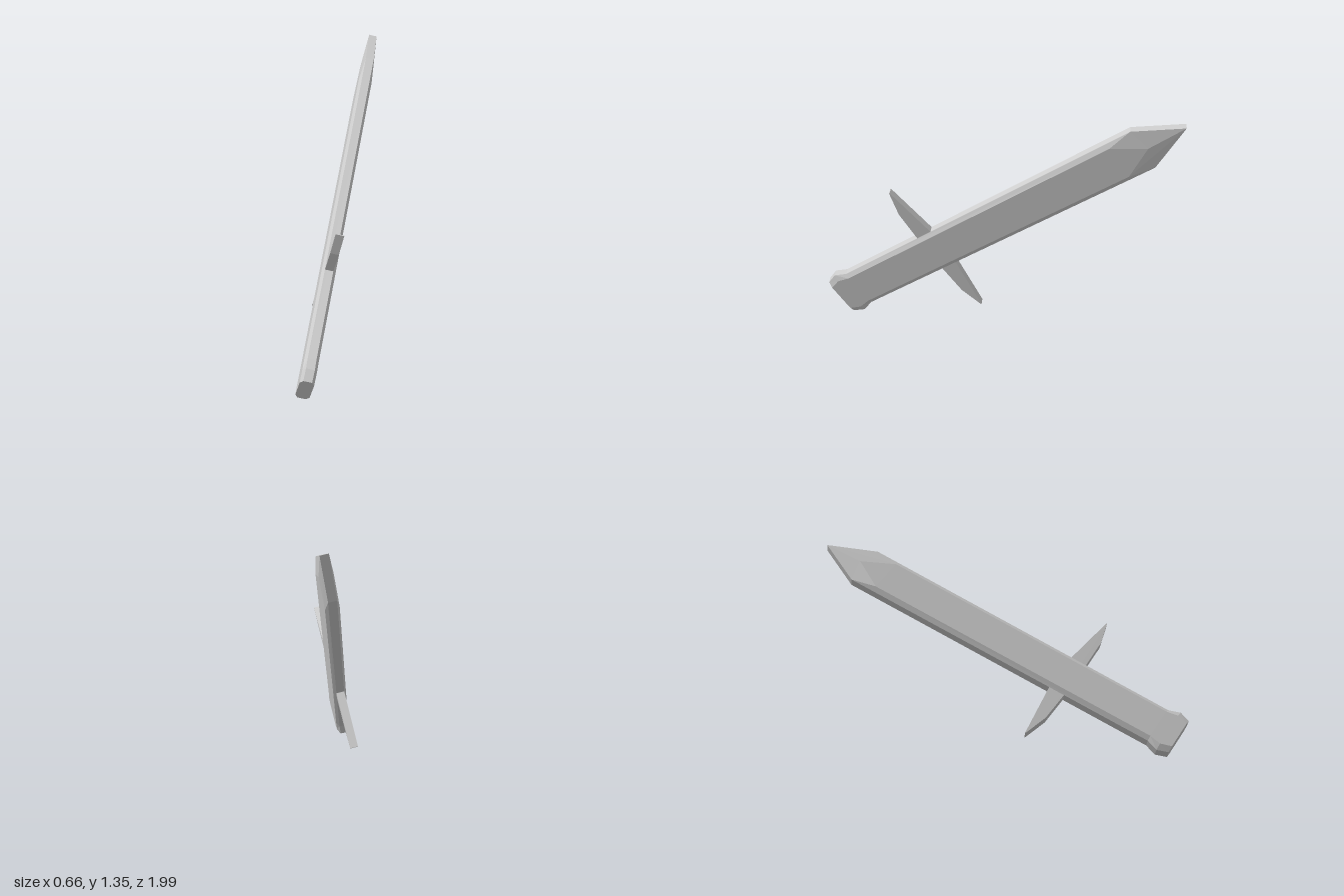
import * as THREE from 'three';

const material = new THREE.MeshStandardMaterial({ color: 0xcccccc, flatShading: true });
const EDGE = 0.0235; // half thickness along the rim
const FACE = 0.039;  // half thickness of the raised middle

// Octagonal section: the rim and the raised middle may sit at different heights.
function ring([rimY, rimW, faceY, faceW]) {
  const half = [
    [EDGE, rimY, rimW], [FACE, faceY, faceW],
    [FACE, faceY, -faceW], [EDGE, rimY, -rimW],
  ];
  const mirrored = half.map(([x, y, z]) => [-x, y, z]).reverse();
  return [...half, ...mirrored].map((p) => new THREE.Vector3(...p));
}

function bodyGeometry() {
  // rim height, rim half width, face height, face half width
  const rings = [
    [-0.768, 0.125, -0.768, 0.09],
    [-0.706, 0.15, -0.706, 0.112],
    [-0.639, 0.124, -0.639, 0.098],
    [1.313, 0.134, 1.165, 0.105],
    [1.582, 0, 1.347, 0],
  ].map(ring);
  const positions = [];
  const tri = (a, b, c) => {
    const area = b.clone().sub(a).cross(c.clone().sub(a)).length();
    if (area > 1e-7) for (const p of [a, b, c]) positions.push(p.x, p.y, p.z);
  };
  for (let i = 0; i < rings.length - 1; i++) {
    const lower = rings[i], upper = rings[i + 1];
    for (let j = 0; j < 8; j++) {
      const k = (j + 1) % 8;
      tri(lower[j], lower[k], upper[k]);
      tri(lower[j], upper[k], upper[j]);
    }
  }
  // Pommel end cap
  for (let j = 1; j < 7; j++) tri(rings[0][0], rings[0][j + 1], rings[0][j]);
  const geometry = new THREE.BufferGeometry();
  geometry.setAttribute('position', new THREE.Float32BufferAttribute(positions, 3));
  geometry.computeVertexNormals();
  return geometry;
}

// Crossguard: two tapering arms bent toward the blade
function guardGeometry() {
  const arm = [[0.12, -0.112], [0.317, -0.105], [0.465, -0.066], [0.465, -0.062], [0.12, -0.016]];
  const outline = [...arm, ...arm.map(([w, y]) => [-w, y]).reverse()];
  const shape = new THREE.Shape(outline.map(([w, y]) => new THREE.Vector2(w, y)));
  const geometry = new THREE.ExtrudeGeometry(shape, { depth: 2 * EDGE, bevelEnabled: false });
  geometry.translate(0, 0, -EDGE);
  geometry.rotateY(-Math.PI / 2);
  return geometry;
}

export function createModel() {
  const sword = new THREE.Group();
  sword.name = 'sword';
  const addPart = (name, geometry) => {
    const mesh = new THREE.Mesh(geometry, material);
    mesh.name = name;
    sword.add(mesh);
  };
  addPart('bladeAndGrip', bodyGeometry());
  addPart('crossguard', guardGeometry());

  // Lean the sword: local y runs to the tip, local z along the guard
  const along = new THREE.Vector3(-0.241, 0.526, -0.816).normalize();
  const across = new THREE.Vector3(0.387, 0.827, 0.408);
  const thick = along.clone().cross(across).normalize();
  across.crossVectors(thick, along);
  sword.quaternion.setFromRotationMatrix(new THREE.Matrix4().makeBasis(thick, along, across));
  sword.position.addScaledVector(across, 0.576).addScaledVector(thick, -0.166);

  const model = new THREE.Group();
  model.name = 'leaningSword';
  model.add(sword);
  return model;
}
